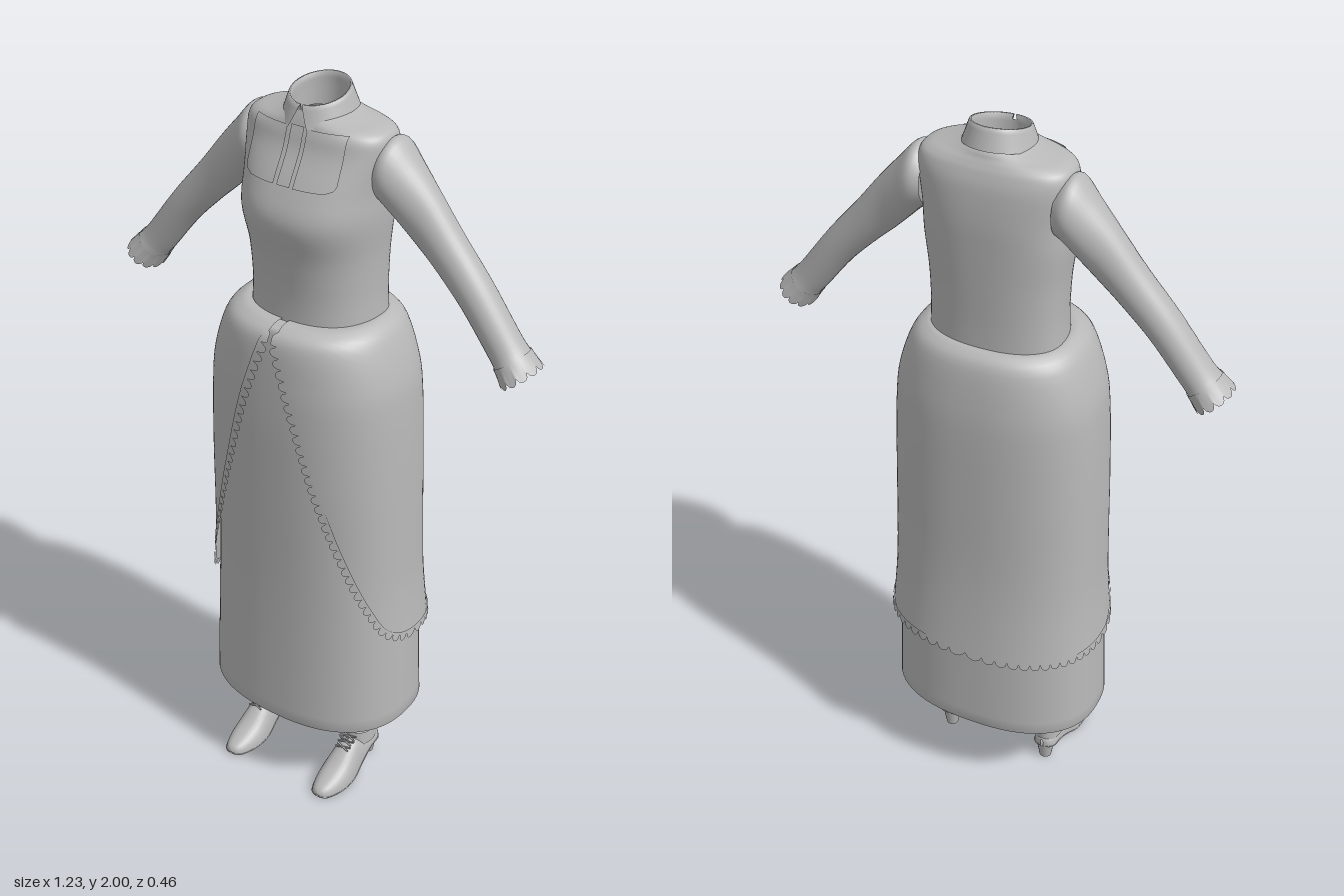
import * as THREE from 'three';

const cloth = new THREE.MeshStandardMaterial({ color: 0xb8b8b8, side: THREE.DoubleSide });
cloth.name = 'plain grey';

// Smooth grid surface from fn(u, v) -> [x, y, z]
function surface(name, fn, nu, nv, closed = false) {
  const pos = [], idx = [], cols = closed ? nu : nu + 1;
  for (let j = 0; j <= nv; j++)
    for (let i = 0; i < cols; i++) pos.push(...fn(i / nu, j / nv));
  for (let j = 0; j < nv; j++)
    for (let i = 0; i < nu; i++) {
      const a = j * cols + i, b = j * cols + (i + 1) % cols;
      idx.push(a, b, a + cols, b, b + cols, a + cols);
    }
  const g = new THREE.BufferGeometry();
  g.setAttribute('position', new THREE.Float32BufferAttribute(pos, 3));
  g.setIndex(idx);
  g.computeVertexNormals();
  return mesh(name, g);
}

function mesh(name, g) {
  const m = new THREE.Mesh(g, cloth);
  m.name = name;
  return m;
}

// Catmull-Rom blend of table rows, t in row units
function blend(rows, t) {
  const n = rows.length - 1;
  const i = Math.min(n - 1, Math.max(0, Math.floor(t))), f = t - i;
  const at = k => rows[Math.min(n, Math.max(0, k))];
  return rows[i].map((b, k) => {
    const a = at(i - 1)[k], c = at(i + 1)[k], d = at(i + 2)[k];
    return b + 0.5 * f * (c - a + f * (2 * a - 5 * b + 4 * c - d + f * (3 * (b - c) + d - a)));
  });
}

// Row position at which a table's first column reaches y
function rowAt(rows, y) {
  let lo = 0, hi = rows.length - 1;
  const up = rows[hi][0] > rows[0][0];
  for (let k = 0; k < 30; k++) {
    const m = (lo + hi) / 2;
    if ((blend(rows, m)[0] < y) === up) lo = m; else hi = m;
  }
  return (lo + hi) / 2;
}

// Rounded section: angle 0 faces front, separate front and back depth
const pw = (v, e) => Math.sign(v) * Math.abs(v) ** e;
function section([y, w, front, back, n], a, cz, grow = 0) {
  const c = Math.cos(a);
  return [(w + grow) * pw(Math.sin(a), 2 / n), y,
    cz + (c > 0 ? front - cz + grow : back + cz + grow) * pw(c, 2 / n)];
}

// Rows: y, half width, front depth, back depth, squareness
const TORSO = [
  [1.42, .176, .14, .13, 2.3], [1.5, .173, .14, .13, 2.3], [1.6, .176, .152, .133, 2.3],
  [1.7, .185, .175, .136, 2.4], [1.78, .186, .148, .137, 2.5], [1.86, .195, .103, .13, 2.6],
  [1.9, .192, .088, .118, 2.6], [1.918, .172, .081, .108, 2.4], [1.93, .13, .077, .1, 2.1],
  [1.94, .095, .073, .095, 2], [1.95, .072, .068, .085, 2],
];
const OVER = [
  [1.435, .17, .14, .13, 2.3], [1.432, .192, .175, .15, 2.3], [1.4, .226, .208, .176, 2.4],
  [1.3, .262, .221, .193, 2.4], [1.2, .275, .226, .2, 2.4], [1, .283, .226, .203, 2.4],
  [.8, .288, .22, .206, 2.4], [.65, .293, .22, .215, 2.4], [.48, .308, .222, .232, 2.4],
];
const UNDER = [
  [1.43, .165, .13, .12, 2.3], [1.425, .185, .165, .14, 2.3], [1.4, .21, .19, .16, 2.4],
  [1.2, .262, .205, .188, 2.4], [1, .27, .208, .192, 2.4], [.7, .279, .21, .198, 2.4],
  [.5, .287, .215, .203, 2.4], [.235, .296, .225, .21, 2.4],
];
// Overskirt hem: angle, y (from front opening to centre back)
const HEM = [[.04, 1.425], [.25, 1.2], [.445, 1], [.705, .8], [.98, .65], [1.2, .565],
  [1.5, .528], [1.9, .518], [2.5, .513], [Math.PI, .512]];

// Sleeve rows: top x, top y, bottom x, bottom y, z centre, z half width
const SLEEVE = [
  [.17, 1.885, .17, 1.745, -.03, .07], [.205, 1.902, .193, 1.73, -.03, .079],
  [.255, 1.85, .232, 1.692, -.031, .068], [.312, 1.785, .275, 1.65, -.031, .056],
  [.38, 1.7, .328, 1.602, -.03, .051], [.465, 1.6, .405, 1.525, -.027, .05],
  [.55, 1.488, .48, 1.432, -.024, .05], [.58, 1.453, .507, 1.4, -.022, .055],
  [.604, 1.43, .525, 1.372, -.02, .063],
];
// Shoe rows: z, half width, underside y, top y
const SHOE = [
  [.225, .004, .004, .012], [.215, .024, .001, .026], [.18, .04, 0, .042], [.14, .047, 0, .06],
  [.1, .045, .004, .088], [.065, .04, .02, .108], [.03, .036, .036, .095], [0, .034, .046, .09],
  [-.03, .032, .05, .09], [-.047, .02, .052, .085], [-.052, .004, .055, .08],
];
const TAU = Math.PI * 2;

function sleeve(side) {
  const g = new THREE.Group();
  g.name = side > 0 ? 'leftSleeve' : 'rightSleeve';
  const ring = (t, a, grow, drop) => {
    const [tx, ty, bx, by, zc, zh] = blend(SLEEVE, t), c = Math.cos(a) * grow;
    return [side * ((tx + bx) / 2 + (tx - bx) / 2 * c + drop * .64),
      (ty + by) / 2 + (ty - by) / 2 * c - drop * .77, zc + zh * grow * Math.sin(a)];
  };
  g.add(surface('sleeve', (u, v) => ring(v * 7.2, u * TAU, 1, 0), 32, 36, true));
  // scalloped cuff frill
  g.add(surface('cuffFrill', (u, v) =>
    ring(6.9 + v * 1.1, u * TAU, 1.05, v * .016 * Math.sqrt(Math.abs(Math.sin(u * TAU * 6)))), 96, 6, true));
  return g;
}

function shoe(side) {
  const g = new THREE.Group();
  g.name = side > 0 ? 'leftShoe' : 'rightShoe';
  g.add(surface('shoeUpper', (u, v) => {
    const [z, hw, yb, yt] = blend(SHOE, v * 10), s = Math.sin(u * TAU), c = Math.cos(u * TAU);
    return [hw * pw(c, .8), s > 0 ? yb + (yt - yb) * s ** .9 : yb, z];
  }, 32, 30, true));
  // thin sole following the arch
  g.add(surface('sole', (u, v) => {
    const [z, hw, yb] = blend(SHOE, v * 10), s = Math.sin(u * TAU);
    return [(hw + .002) * Math.cos(u * TAU), yb + .003 + .003 * s, z];
  }, 16, 30, true));
  g.add(surface('ankleOpening', (u, v) => {
    const a = u * TAU, c = Math.cos(a);
    return [(.036 - .002 * v) * Math.sin(a), .075 + v * (.04 + .014 * c * c), .007 + (.056 + .003 * v) * c];
  }, 32, 5, true));
  const heel = mesh('heel', new THREE.CylinderGeometry(.026, .017, .054, 20));
  heel.position.set(0, .027, -.024);
  g.add(heel);
  // crossed laces and bow
  for (let i = 0; i < 3; i++)
    for (const s of [-1, 1]) {
      const lace = mesh('lace', new THREE.CylinderGeometry(.0025, .0025, .045, 6));
      lace.position.set(0, .096 + i * .01, .1 - i * .014);
      lace.rotation.set(0, s * .35, Math.PI / 2);
      g.add(lace);
    }
  for (const s of [-1, 1]) {
    const bow = mesh('bowLoop', new THREE.TorusGeometry(.009, .002, 6, 14));
    bow.scale.set(1.3, .7, 1);
    bow.position.set(s * .012, .112, .079);
    bow.rotation.x = -.7;
    g.add(bow);
  }
  g.position.x = side * .152;
  return g;
}

export function createModel() {
  const model = new THREE.Group();
  model.name = 'dress';

  // bodice
  model.add(surface('bodice', (u, v) => section(blend(TORSO, v * 10), u * TAU, -.02), 72, 50, true));

  // yoke panels and centre placket lying on the chest
  const chest = (x, y, lift) => {
    const [, w, f, , n] = blend(TORSO, rowAt(TORSO, y));
    return [x, y, -.02 + (f + .02) * (1 - Math.min(1, Math.abs(x / w)) ** n) ** (1 / n) + lift];
  };
  for (const s of [-1, 1])
    model.add(surface(s > 0 ? 'leftYoke' : 'rightYoke', (u, v) => {
      const k = Math.max(0, 1 - v * 6);
      return chest(s * (.028 + u * (.102 - .025 * (1 - Math.sqrt(1 - k * k)))), 1.79 + v * .127, .005);
    }, 14, 20));
  model.add(surface('placket', (u, v) => chest((u - .5) * .036, 1.79 + v * .13, .004), 6, 16));

  // collar with a notch in front, over a neck band
  const COLLAR = [[.092, 0], [.085, .35], [.077, .8], [.073, 1], [.068, 1], [.066, .7], [.068, 0]];
  model.add(surface('collar', (u, v) => {
    const [r, h] = COLLAR[Math.round(v * 6)], gap = .04 + .26 * (1 - h);
    const a = gap + u * (TAU - 2 * gap), c = Math.cos(a);
    return [r * Math.sin(a), (1.93 - .02 * c) * (1 - h) + (1.983 - .017 * c) * h, -.005 + r * 1.06 * c];
  }, 48, 6));
  model.add(surface('neckBand', (u, v) => {
    const c = Math.cos(u * TAU);
    return [.067 * Math.sin(u * TAU), 1.915 + v * (.052 - .012 * c), -.005 + .071 * c];
  }, 40, 3, true));

  // underskirt with a turned-in hem
  model.add(surface('underskirt', (u, v) =>
    v === 1 ? section([.24, .288, .217, .202, 2.4], u * TAU, 0)
      : section(blend(UNDER, Math.min(7, v * 7.2)), u * TAU, 0), 72, 36, true));

  // open-fronted overskirt and its scalloped trim
  const hem = new THREE.CatmullRomCurve3(HEM.map(([a, y]) => new THREE.Vector3(a * .26, y, 0)));
  hem.arcLengthDivisions = 600;
  const drape = (a, y, grow) => {
    const row = blend(OVER, rowAt(OVER, y));
    return section(row, a, 0, grow);
  };
  const hemAt = u => {
    const s = u < .5 ? 1 : -1, k = Math.min(1, 1 - Math.abs(1 - 2 * u));
    return { s, p: hem.getPointAt(k), d: hem.getTangentAt(k) };
  };
  model.add(surface('overskirt', (u, v) => {
    const { s, p } = hemAt(u), end = rowAt(OVER, p.y);
    return section(blend(OVER, v * end), s * p.x / .26, 0);
  }, 160, 30));
  model.add(surface('scallopTrim', (u, v) => {
    const { s, p, d } = hemAt(u);
    const out = -.008 + v * (.008 + .018 * Math.sqrt(Math.abs(Math.sin(u * Math.PI * 100))));
    const a = Math.max(.01, (p.x + d.y * out) / .26);
    return drape(s * a, Math.min(1.432, p.y - d.x * out), .003);
  }, 800, 2));

  for (const s of [-1, 1]) model.add(sleeve(s), shoe(s));
  return model;
}
